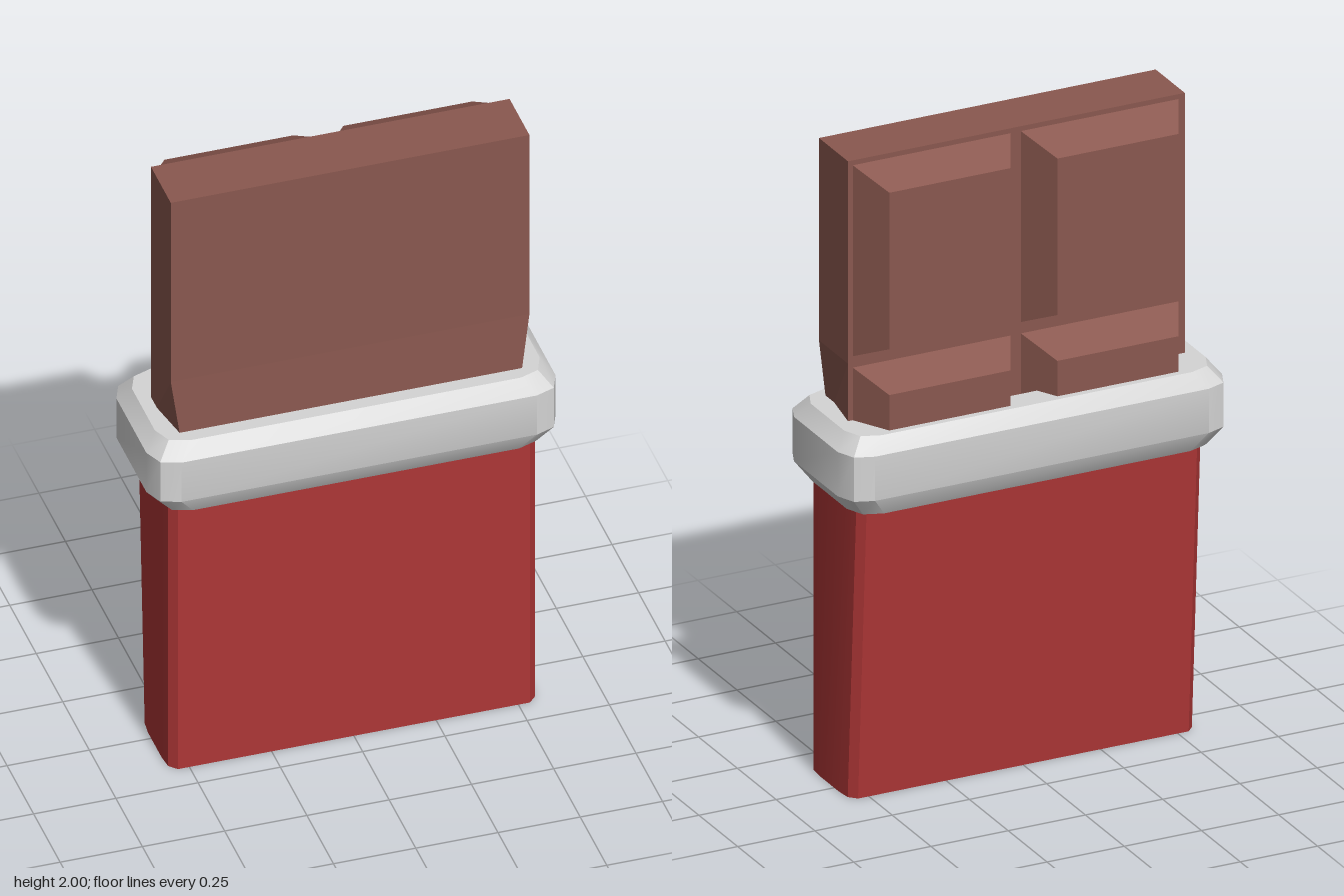
import * as THREE from 'three';
import { toCreasedNormals } from 'three/addons/utils/BufferGeometryUtils.js';

const chocolate = new THREE.MeshStandardMaterial({ color: 0x8a584f });
const wrapperRed = new THREE.MeshStandardMaterial({ color: 0xad3636, side: THREE.DoubleSide });
const silver = new THREE.MeshStandardMaterial({ color: 0xd4d4d4, side: THREE.DoubleSide });

// Rounded rectangle outline in x/z; corner = [x inset, mid x inset, mid z inset, z inset]
function outline(w, front, back, [c0, c1, c2, c3]) {
  const half = [
    [w - c0, front], [w - c1, front - c2], [w, front - c3],
    [w, back + c3], [w - c1, back + c2], [w - c0, back],
  ];
  return [...half, ...half.slice().reverse().map(([x, z]) => [-x, z])];
}

// Skin between stacked outlines, optionally closed underneath
function loft(sections, closeBottom) {
  const pos = [], index = [], n = sections[0].pts.length;
  for (const { y, pts } of sections) for (const [x, z] of pts) pos.push(x, y, z);
  for (let s = 0; s < sections.length - 1; s++) {
    for (let i = 0; i < n; i++) {
      const a = s * n + i, b = s * n + (i + 1) % n;
      index.push(a, b, b + n, a, b + n, a + n);
    }
  }
  if (closeBottom) for (let i = 1; i < n - 1; i++) index.push(0, i + 1, i);
  const geo = new THREE.BufferGeometry();
  geo.setAttribute('position', new THREE.Float32BufferAttribute(pos, 3));
  geo.setIndex(index);
  return toCreasedNormals(geo, 0.55);
}

// Bar body: front edges pinch in slightly towards the foil
function slabGeometry() {
  const geo = new THREE.BoxGeometry(1.09, 2, 0.187, 1, 2, 1).toNonIndexed();
  const p = geo.attributes.position;
  for (let i = 0; i < p.count; i++) {
    const level = Math.round(p.getY(i)) + 1;
    const isFront = p.getZ(i) > 0, pinched = isFront && level === 0;
    p.setXYZ(i, Math.sign(p.getX(i)) * (pinched ? 0.51 : 0.545),
      [1.1, 1.36, 2][level], isFront ? (pinched ? 0.142 : 0.132) : -0.055);
  }
  geo.computeVertexNormals();
  return geo;
}

// Raised square on the back with sloping sides
function chunkGeometry(x0, x1, y0, y1, bottomInset) {
  const geo = new THREE.BoxGeometry(1, 1, 1).toNonIndexed();
  const p = geo.attributes.position;
  for (let i = 0; i < p.count; i++) {
    const outer = p.getZ(i) < 0, k = outer ? 1 : 0;
    p.setXYZ(i,
      p.getX(i) < 0 ? x0 + 0.058 * k : x1 - 0.062 * k,
      p.getY(i) < 0 ? y0 + bottomInset * k : y1 - 0.055 * k,
      outer ? -0.168 : -0.054);
  }
  geo.computeVertexNormals();
  return geo;
}

export function createModel() {
  const model = new THREE.Group();
  const add = (name, geo, mat, parent = model) => {
    const mesh = new THREE.Mesh(geo, mat);
    mesh.name = name;
    parent.add(mesh);
    return mesh;
  };

  // Chocolate
  const bar = new THREE.Group();
  bar.name = 'chocolateBar';
  model.add(bar);
  add('slab', slabGeometry(), chocolate, bar);
  for (const [side, x0, x1] of [['left', 0.018, 0.53], ['right', -0.53, -0.018]]) {
    const flip = side === 'right';
    // outer and inner slopes mirror across the centre groove
    const a = flip ? x0 + 0.004 : x0, b = flip ? x1 + 0.004 : x1;
    add(side + 'UpperChunk', chunkGeometry(a, b, 1.38, 1.985, 0.055), chocolate, bar);
    add(side + 'LowerChunk', chunkGeometry(a, b, 1.1, 1.345, 0), chocolate, bar);
  }

  // Paper wrapper, its back leaning outwards as it rises
  const paper = [0.027, 0.005, 0.023, 0.07];
  add('wrapper', loft([
    { y: 0, pts: outline(0.562, 0.168, -0.1, paper) },
    { y: 1, pts: outline(0.562, 0.168, -0.159, paper) },
  ], true), wrapperRed);

  // Folded foil collar with bevelled rims and an opening for the bar
  const fold = [0.082, 0.024, 0.021, 0.078];
  add('foilCollar', loft([
    { y: 0.93, pts: outline(0.55, 0.16, -0.15, fold) },
    { y: 0.93, pts: outline(0.578, 0.188, -0.19, fold) },
    { y: 0.99, pts: outline(0.622, 0.218, -0.22, fold) },
    { y: 1.13, pts: outline(0.622, 0.218, -0.22, fold) },
    { y: 1.178, pts: outline(0.585, 0.183, -0.188, fold) },
    { y: 1.178, pts: outline(0.5, 0.12, -0.105, paper) },
  ], false), silver);

  return model;
}
